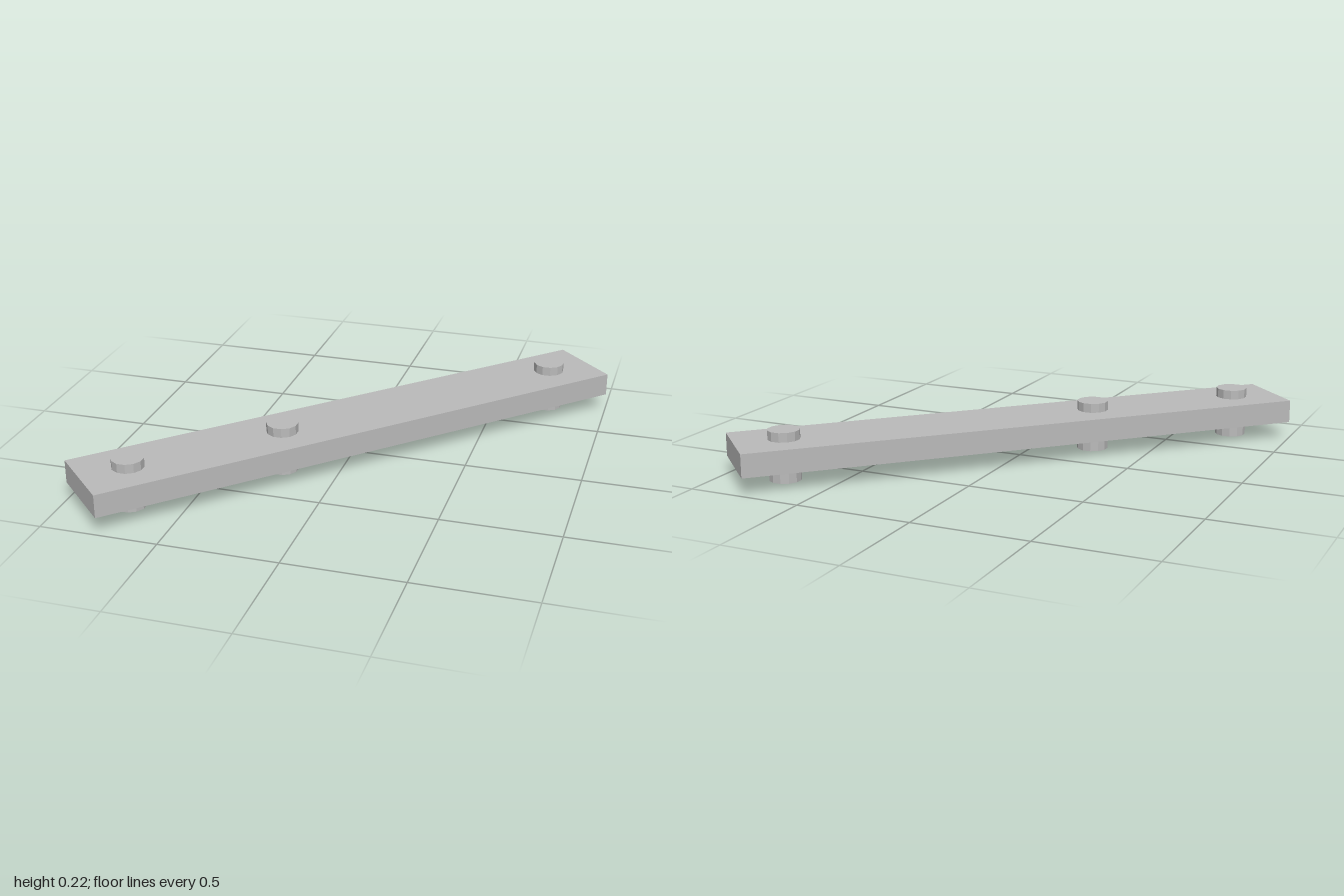
import * as THREE from 'three';

export function createModel() {
  const model = new THREE.Group();
  const grey = new THREE.MeshStandardMaterial({ color: 0xbababa });
  grey.name = 'grey';

  // Everything lies along a bar turned 45 degrees
  const link = new THREE.Group();
  link.name = 'link';
  link.rotation.y = Math.PI / 4;
  model.add(link);

  // Flat bar
  const bar = new THREE.Mesh(new THREE.BoxGeometry(2.482, 0.1, 0.346), grey);
  bar.name = 'bar';
  bar.position.y = 0.125;
  link.add(bar);

  // Twelve-sided pins passing through the bar, with flat facets
  const pinGeometry = new THREE.CylinderGeometry(0.068, 0.068, 0.215, 12).toNonIndexed();
  pinGeometry.computeVertexNormals();
  [['leftPin', 1.032], ['middlePin', -0.343], ['rightPin', -1.034]].forEach(([name, x]) => {
    const pin = new THREE.Mesh(pinGeometry, grey);
    pin.name = name;
    pin.position.set(x, 0.1075, 0);
    link.add(pin);
  });

  return model;
}
